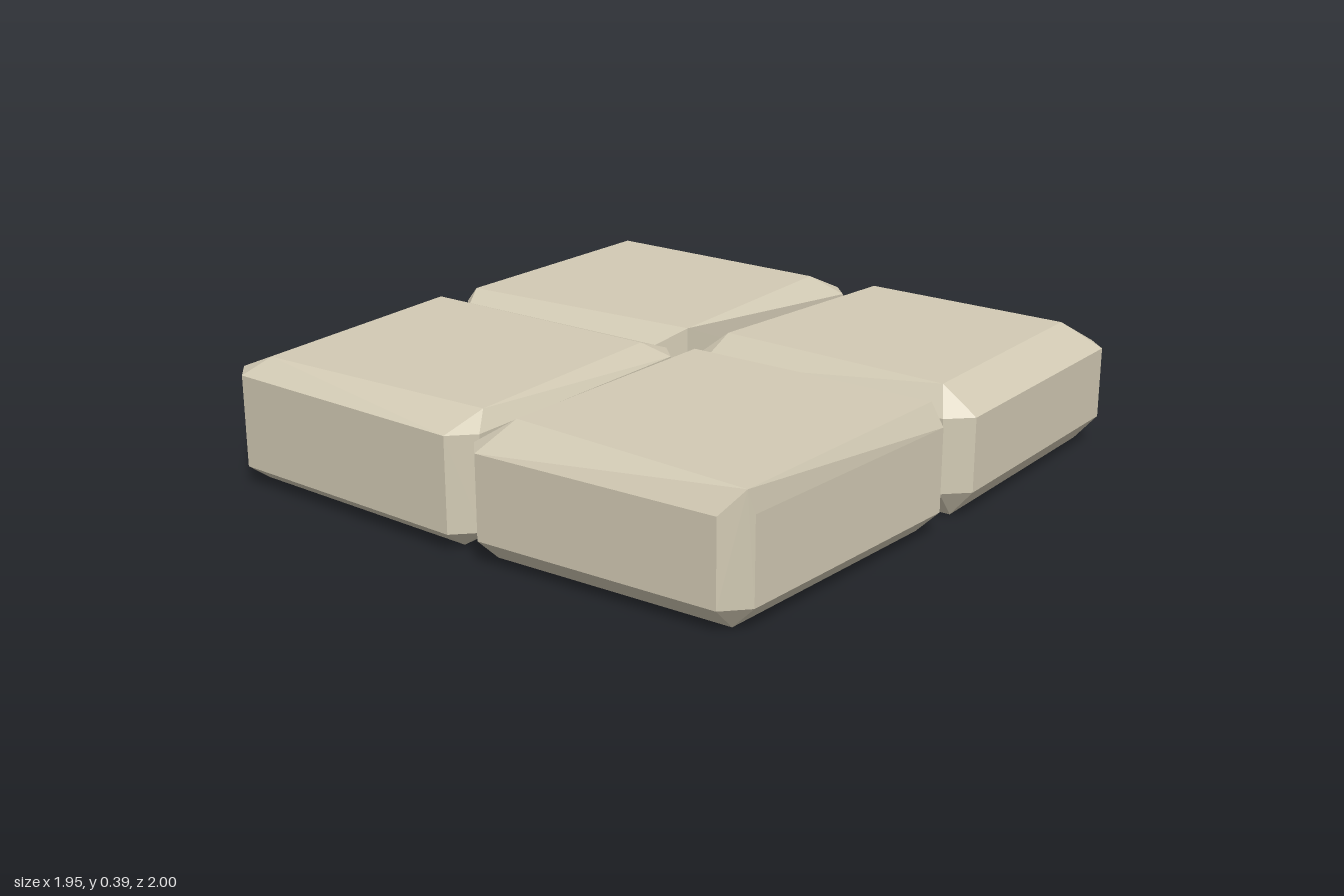
import * as THREE from 'three';
import { ConvexGeometry } from 'three/addons/geometries/ConvexGeometry.js';

const HEIGHT = 0.39;
const CLIP = 0.07; // share of each side cut off at the corners
const BOTTOM_SCALE = 0.85;

// Corners as [x, z], running back right, back left, front left, front right
const slabs = [
  {
    name: 'frontRightSlab', low: 0.055, high: 0.34,
    outline: [[-0.98, 0.02], [-0.01, -0.035], [0.02, 0.99], [-0.97, 0.95]],
    top: [[-0.93, 0.08], [-0.07, 0.105], [-0.02, 0.86], [-0.85, 0.88]],
  },
  {
    name: 'frontLeftSlab', low: 0.07, high: 0.32,
    outline: [[0.01, 0.03], [0.96, 0], [0.91, 0.975], [0.01, 1]],
    top: [[0.1, 0.06], [0.92, 0.075], [0.905, 0.93], [0.11, 0.87]],
  },
  {
    name: 'backLeftSlab', low: 0.085, high: 0.31,
    outline: [[0.02, -0.97], [0.96, -1], [0.975, -0.02], [-0.015, -0.03]],
    top: [[0.14, -0.9], [0.845, -0.87], [0.865, -0.085], [0.08, -0.14]],
  },
  {
    name: 'backRightSlab', low: 0.06, high: 0.34,
    outline: [[-0.97, -1], [0.02, -0.97], [-0.06, -0.035], [-0.95, 0]],
    top: [[-0.935, -0.915], [-0.105, -0.88], [-0.05, -0.105], [-0.91, -0.07]],
  },
];

const toVectors = (pairs) => pairs.map(([x, z]) => new THREE.Vector2(x, z));
const ring = (points, y) => points.map((p) => new THREE.Vector3(p.x, y, p.y));

// Turns a quad into an octagon by clipping its corners
const clipCorners = (quad) => quad.flatMap((p, i) => [
  p.clone().lerp(quad[(i + 3) % 4], CLIP),
  p.clone().lerp(quad[(i + 1) % 4], CLIP),
]);

// Shrinks a quad about its centre
function shrink(quad, scale) {
  const centre = new THREE.Vector2();
  quad.forEach((p) => centre.addScaledVector(p, 0.25));
  return quad.map((p) => centre.clone().lerp(p, scale));
}

export function createModel() {
  const group = new THREE.Group();
  group.name = 'pavingStones';
  const stone = new THREE.MeshStandardMaterial({ color: 0xd2cab4, flatShading: true });

  // Chamfered irregular stone: bottom, clipped waist and top wrapped in one hull
  for (const { name, low, high, outline, top } of slabs) {
    const quad = toVectors(outline);
    const waist = clipCorners(quad);
    const mesh = new THREE.Mesh(new ConvexGeometry([
      ...ring(shrink(quad, BOTTOM_SCALE), 0),
      ...ring(waist, low),
      ...ring(waist, high),
      ...ring(toVectors(top), HEIGHT),
    ]), stone);
    mesh.name = name;
    group.add(mesh);
  }
  return group;
}
